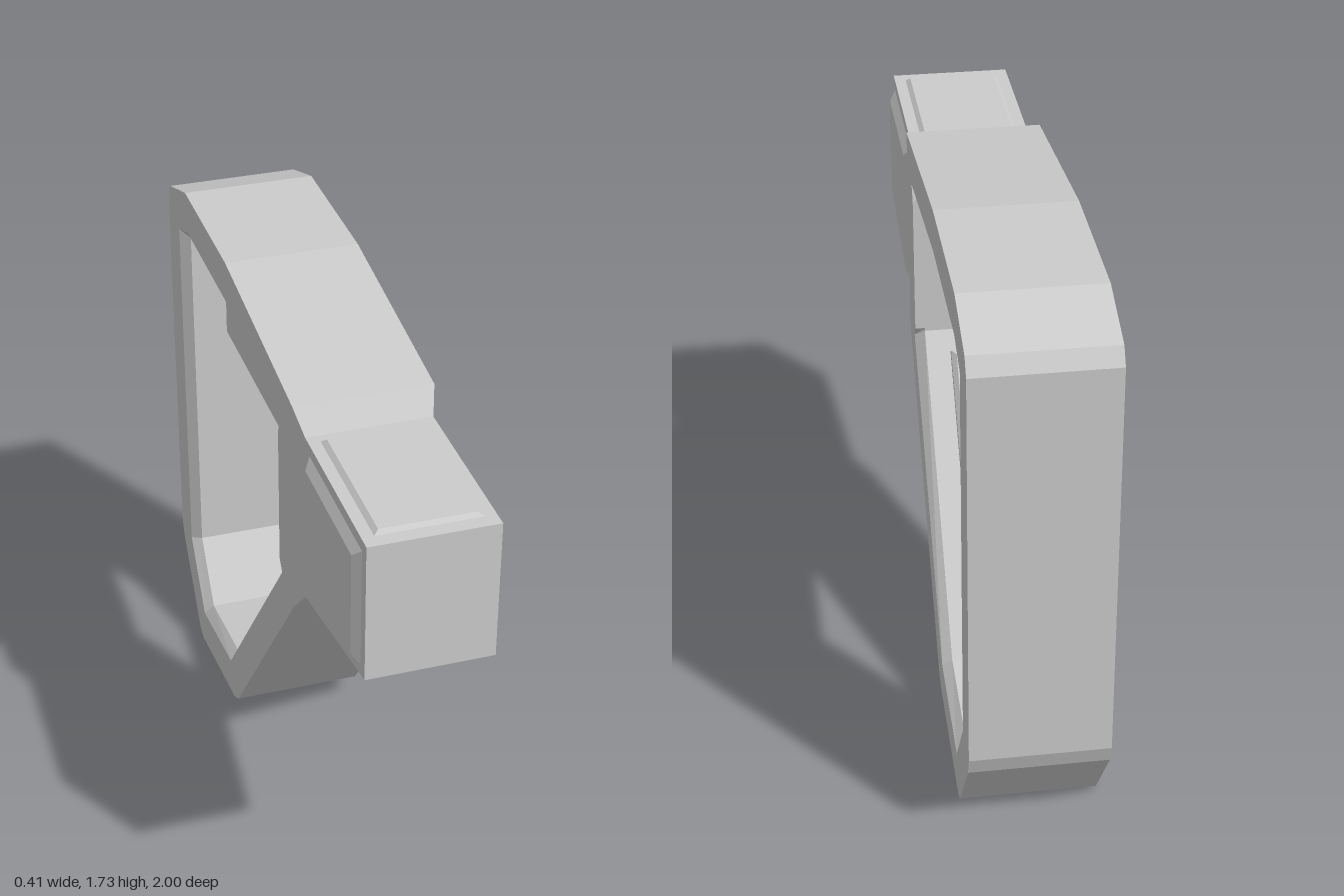
import * as THREE from 'three';
import { ConvexGeometry } from 'three/addons/geometries/ConvexGeometry.js';

const mat = new THREE.MeshStandardMaterial({ color: 0xcccccc, flatShading: true });
const HALF = 0.205;   // half width of the frame
const INNER = 0.175;  // half width of the wall inside the opening
const NOSE = 0.185;   // half width of the front block

// Profiles as [z, y]
const outer = [
  [0.405, 1.645], [-0.29, 1.73], [-0.77, 1.73], [-0.97, 1.66], [-1, 1.61],
  [-1, 0.35], [-0.98, 0.29], [-0.79, 0.025], [-0.75, 0.003], [-0.32, 0.065],
  [-0.27, 0.095], [0.405, 0.965],
];
const holeEdge = [
  [0.285, 1.53], [-0.29, 1.6], [-0.755, 1.6], [-0.87, 1.555], [-0.87, 0.355],
  [-0.715, 0.135], [-0.36, 0.19], [0.285, 1.005], [0.26, 1.04], [0.26, 1.48],
];
const holeWall = [
  [0.26, 1.505], [-0.295, 1.57], [-0.75, 1.57], [-0.84, 1.535], [-0.84, 0.365],
  [-0.7, 0.17], [-0.37, 0.217], [0.26, 1.03], [0.26, 1.04], [0.26, 1.48],
];

function frameGeometry() {
  const pos = [];
  const put = ([z, y], x) => pos.push(x, y, z);
  const band = (a, xa, b, xb) => a.forEach((p, i) => {
    const j = (i + 1) % a.length;
    put(p, xa); put(b[i], xb); put(b[j], xb);
    put(p, xa); put(b[j], xb); put(a[j], xa);
  });
  // Outer wall, bevelled rims and inner wall
  band(outer, -HALF, outer, HALF);
  band(holeEdge, HALF, holeWall, INNER);
  band(holeWall, INNER, holeWall, -INNER);
  band(holeWall, -INNER, holeEdge, -HALF);
  // Flat sides with the opening cut out
  const vec = (l) => l.map(([z, y]) => new THREE.Vector2(z, y));
  const all = [...outer, ...holeEdge];
  for (const [a, b, c] of THREE.ShapeUtils.triangulateShape(vec(outer), [vec(holeEdge)])) {
    [a, b, c].forEach((i) => put(all[i], -HALF));
    [c, b, a].forEach((i) => put(all[i], HALF));
  }
  const g = new THREE.BufferGeometry();
  g.setAttribute('position', new THREE.Float32BufferAttribute(pos, 3));
  g.computeVertexNormals();
  return g;
}

// Convex block from a list of [x, y, z] corners
const block = (pts) => new ConvexGeometry(pts.map((p) => new THREE.Vector3(...p)));

// Rectangular section across the model at depth z
const section = (z, y0, y1, h) => [[-h, y0, z], [h, y0, z], [h, y1, z], [-h, y1, z]];

// Height of the sloping underside of the front block
const under = (z) => 1.035 + (z - 0.46) * 0.204;

// Raised plate lying across x, from (z0, z1) with a surface height function
function plate(height, lift) {
  const pts = [];
  for (const s of [-1, 1]) {
    for (const [z, inset] of [[0.49, 0.012], [0.957, -0.012]]) {
      pts.push([s * 0.15, height(z), z], [s * 0.136, height(z) + lift, z + inset]);
    }
  }
  return block(pts);
}

export function createModel() {
  const model = new THREE.Group();
  const add = (name, geometry) => {
    const m = new THREE.Mesh(geometry, mat);
    m.name = name;
    model.add(m);
    return m;
  };

  add('handleFrame', frameGeometry());

  // Tapered neck and front block
  add('neck', block([...section(0.405, 0.965, 1.645, HALF), ...section(0.46, 1.035, 1.575, NOSE)]));
  add('frontBlock', block([...section(0.46, 1.035, 1.575, NOSE), ...section(1, 1.145, 1.575, NOSE)]));

  // Raised plates on the block
  add('topPlate', plate(() => 1.575, 0.011));
  add('bottomPlate', plate(under, -0.013));
  const base = [[0.965, 1.54], [0.5, 1.54], [0.5, 1.078], [0.965, 1.17]];
  const face = [[0.938, 1.513], [0.527, 1.513], [0.527, 1.108], [0.938, 1.193]];
  for (const [side, name] of [[1, 'leftPlate'], [-1, 'rightPlate']]) {
    add(name, block([
      ...base.map(([z, y]) => [side * NOSE, y, z]),
      ...face.map(([z, y]) => [side * HALF, y, z]),
    ]));
  }

  // Straight bar across the opening
  add('crossBar', new THREE.BoxGeometry(0.13, 0.175, 1.12)).position.set(0, 1.2625, -0.29);

  // Bevelled pad on the sloping inner wall
  const [z0, y0] = holeWall[7], [z1, y1] = holeWall[6];
  const len = Math.hypot(z1 - z0, y1 - y0);
  const dz = (z1 - z0) / len, dy = (y1 - y0) / len;
  const pad = [];
  for (const s of [-1, 1]) {
    for (const [along, up, half] of [[0.07, 0, 0.1], [0.07, 0.02, 0.1], [0.085, 0.035, 0.085],
      [0.97, 0, 0.1], [0.97, 0.02, 0.1], [0.955, 0.035, 0.085]]) {
      pad.push([s * half, y0 + dy * along - dz * up, z0 + dz * along + dy * up]);
    }
  }
  add('slopePad', block(pad));

  return model;
}
